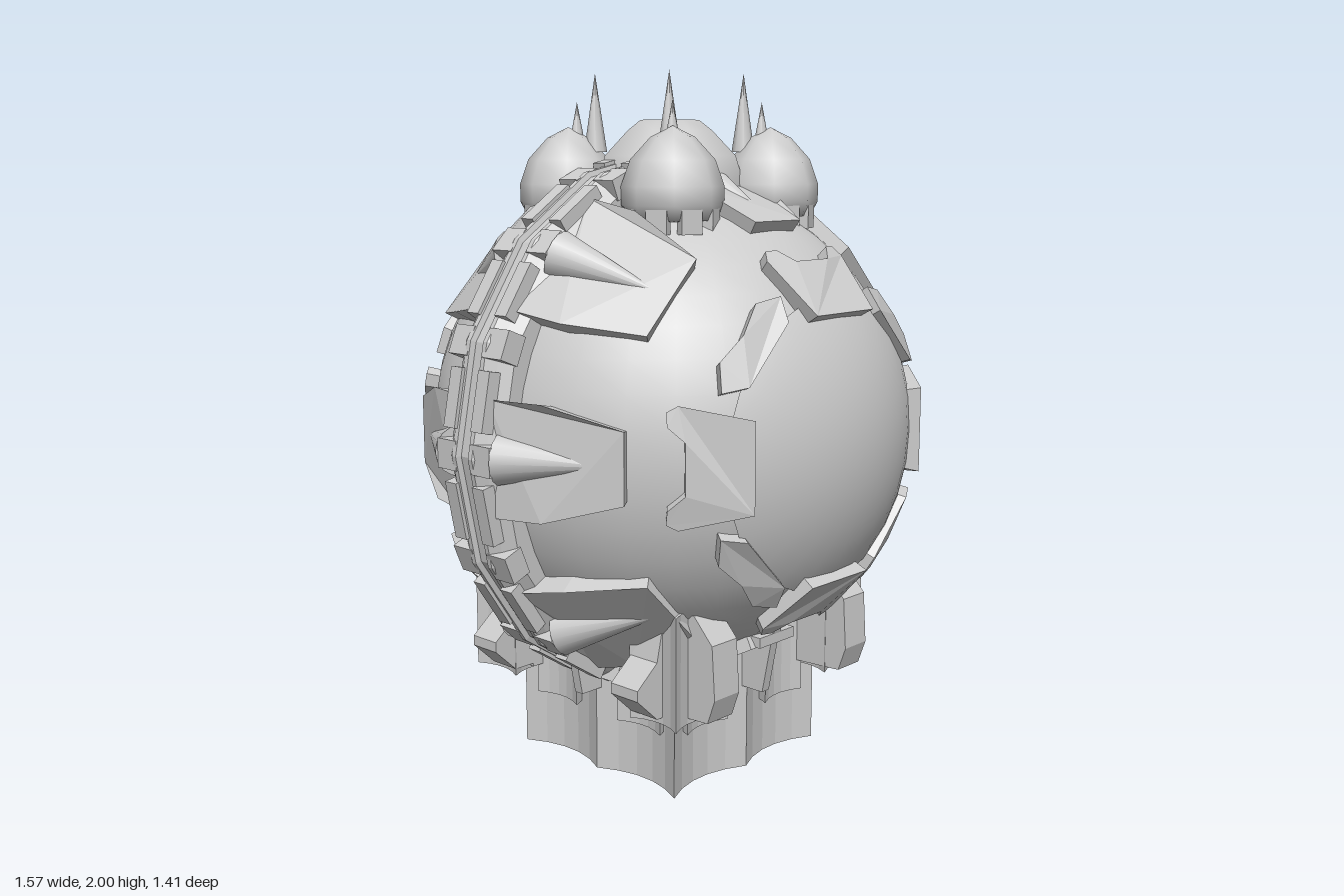
import * as THREE from 'three';

const grey = new THREE.MeshStandardMaterial({ color: 0xcccccc, side: THREE.DoubleSide });
const flat = new THREE.MeshStandardMaterial({ color: 0xcccccc, flatShading: true, side: THREE.DoubleSide });
const V = (x, y, z) => new THREE.Vector3(x, y, z);
const shapeOf = pts => new THREE.Shape(pts.map(p => new THREE.Vector2(...p)));

function add(parent, name, geometry, material = flat, x = 0, y = 0, z = 0) {
  const m = new THREE.Mesh(geometry, material);
  m.name = name;
  m.position.set(x, y, z);
  parent.add(m);
  return m;
}

// Armour plate: an outline projected onto the ball around direction a, from radius r0 to top(v)
function plate(parent, name, pts, a, n, r0, top) {
  const t = n.clone().cross(a);
  const g = new THREE.ExtrudeGeometry(shapeOf(pts), { depth: 1, bevelEnabled: false });
  const p = g.attributes.position;
  for (let i = 0; i < p.count; i++) {
    const u = p.getX(i), v = p.getY(i), r = p.getZ(i) > 0.5 ? top(v) : r0;
    const d = a.clone().addScaledVector(t, u).addScaledVector(n, v).normalize().multiplyScalar(r);
    p.setXYZ(i, d.x, d.y, d.z);
  }
  g.computeVertexNormals();
  add(parent, name, g);
}

// Square column with four concave sides, optionally hollow
function column(parent, name, x, z, half, y0, y1, hollow) {
  const trace = (path, h) => {
    const c = [[h, h], [-h, h], [-h, -h], [h, -h]];
    path.moveTo(h, -h);
    c.forEach(([px, py], i) => {
      const q = c[(i + 3) % 4];
      path.quadraticCurveTo((px + q[0]) * 0.22, (py + q[1]) * 0.22, px, py);
    });
    return path;
  };
  const s = trace(new THREE.Shape(), half);
  if (hollow) s.holes.push(trace(new THREE.Path(), half * 0.78));
  const g = new THREE.ExtrudeGeometry(s, { depth: y1 - y0, bevelEnabled: false, curveSegments: 5 });
  g.rotateX(-Math.PI / 2);
  add(parent, name, g, flat, x, y0, z);
}

// Upright slab cut from a side profile, centred on its thickness
function slab(pts, depth) {
  const g = new THREE.ExtrudeGeometry(shapeOf(pts), { depth, bevelEnabled: false });
  return g.translate(0, 0, -depth / 2);
}

function lathe(pts, sides, start = 0, sweep = Math.PI * 2) {
  return new THREE.LatheGeometry(pts.map(p => new THREE.Vector2(...p)), sides, start, sweep);
}

export function createModel() {
  const root = new THREE.Group();
  root.name = 'armouredSphere';
  const ball = new THREE.Group();
  ball.name = 'ball';
  ball.position.y = 1;
  root.add(ball);

  // Core ball
  add(ball, 'core', new THREE.SphereGeometry(0.69, 32, 24), grey);

  // Front and back lenses, each framed by four notched wedges and four forked corners
  const wedge = [[-0.19, 0.57], [0.19, 0.57], [0.32, 1.0], [0.3, 1.09], [0.22, 1.08], [0.13, 0.95],
    [-0.13, 0.95], [-0.22, 1.08], [-0.3, 1.09], [-0.32, 1.0]];
  const corner = [[0.33, 0.58], [0.58, 0.33], [0.73, 0.33], [0.73, 0.48], [0.58, 0.58], [0.48, 0.73], [0.33, 0.73]];
  for (const s of [1, -1]) {
    const lens = add(ball, 'lens', new THREE.SphereGeometry(0.705, 24, 8, 0, Math.PI * 2, 0, 0.61), grey);
    lens.rotation.x = s * Math.PI / 2;
    for (let k = 0; k < 4; k++) {
      const b = k * Math.PI / 2, n = V(Math.cos(b), Math.sin(b), 0);
      plate(ball, 'lensWedge', wedge, V(0, 0, s), n, 0.65, v => (v < 0.7 ? 0.745 : 0.725));
      plate(ball, 'lensCorner', corner, V(0, 0, s), n, 0.66, () => 0.73);
    }
  }

  // Eight flared panels on each side of the belt, each with a low tapered ridge
  for (let k = 0; k < 8; k++) {
    const b = k * Math.PI / 4, w = k % 2 ? 0.06 : 0;
    const a = V(Math.cos(b), Math.sin(b), 0);
    const panel = [[-0.21 - w, 0.08], [0.21 + w, 0.08], [0.22 + w, 0.3], [0.16 + w, 0.68], [-0.16 - w, 0.68], [-0.22 - w, 0.3]];
    for (const s of [1, -1]) {
      const n = V(0, 0, s);
      plate(ball, 'sidePanel', panel, a, n, 0.68, v => 0.768 - v * 0.06);
      const dir = n.clone().multiplyScalar(0.92).addScaledVector(a, -0.38).normalize();
      const m = add(ball, 'panelRidge', new THREE.ConeGeometry(0.07, 0.32, 16), grey);
      m.quaternion.setFromUnitVectors(V(0, 1, 0), dir);
      m.position.copy(a).multiplyScalar(0.66).addScaledVector(n, 0.23);
    }
  }

  // Belt: sixteen-sided band, open at the bottom, with two tracks of long and short blocks
  const band = lathe([[0.62, -0.1], [0.735, -0.1], [0.765, -0.07], [0.785, -0.04], [0.785, -0.025], [0.77, -0.02],
    [0.77, 0.02], [0.785, 0.025], [0.785, 0.04], [0.765, 0.07], [0.735, 0.1], [0.62, 0.1]], 14, Math.PI / 8, Math.PI * 1.75);
  band.rotateX(Math.PI / 2);
  add(ball, 'beltBand', band);
  for (let i = -7; i <= 23; i++) {
    const b = i * Math.PI / 16, big = i % 2 === 0;
    if (Math.sin(b) < -0.93) continue;
    for (const s of [1, -1]) {
      const block = new THREE.BoxGeometry(0.06, big ? 0.08 : 0.16, big ? 0.075 : 0.045);
      const m = add(ball, 'beltBlock', block, flat, 0.75 * Math.cos(b), 0.75 * Math.sin(b), s * (big ? 0.068 : 0.055));
      m.rotation.z = b;
    }
  }

  // Crown: eight-sided dome
  add(root, 'crownDome', lathe([[0.22, 1.58], [0.23, 1.68], [0.2, 1.77], [0.13, 1.84], [0.09, 1.87], [0, 1.87]], 8, Math.PI / 8), grey);

  // Four toothed pods, each with a short and a tall spike
  const podProfile = [[0, 1.59], [0.12, 1.6], [0.14, 1.64], [0.14, 1.69], [0.115, 1.76], [0.06, 1.82], [0, 1.85]];
  for (const sx of [1, -1]) for (const sz of [1, -1]) {
    const pod = new THREE.Group();
    pod.name = 'pod';
    root.add(pod);
    const px = sx * 0.205, pz = sz * 0.205;
    add(pod, 'podShell', lathe(podProfile, 8), grey, px, 0, pz);
    for (let k = 0; k < 8; k++) {
      const b = (k + 0.5) * Math.PI / 4;
      const tooth = add(pod, 'podTooth', new THREE.BoxGeometry(0.03, 0.07, 0.06), flat,
        px + 0.11 * Math.cos(b), 1.6, pz + 0.11 * Math.sin(b));
      tooth.rotation.y = -b;
    }
    add(pod, 'shortSpike', new THREE.ConeGeometry(0.025, 0.13, 8), grey, sx * 0.187, 1.855, sz * 0.187);
    add(pod, 'tallSpike', new THREE.ConeGeometry(0.033, 0.22, 8), grey, sx * 0.155, 1.89, sz * 0.145);
  }

  // Tail: hollow lower cells, middle columns and outer corner columns with ribs
  const tail = new THREE.Group();
  tail.name = 'tail';
  root.add(tail);
  const sideRib = [[0.24, 0.27], [0.41, 0.27], [0.485, 0.34], [0.485, 0.37], [0.41, 0.43], [0.38, 0.56], [0.24, 0.56]];
  const endRib = [[0.24, 0.26], [0.46, 0.27], [0.485, 0.34], [0.475, 0.49], [0.41, 0.56], [0.24, 0.56]];
  for (const sx of [1, -1]) for (const sz of [1, -1]) {
    column(tail, 'lowerCell', sx * 0.155, sz * 0.155, 0.155, 0, 0.5, true);
    column(tail, 'middleColumn', sx * 0.17, sz * 0.225, 0.085, 0.17, 0.55, false);
    column(tail, 'middleColumn', sx * 0.225, sz * 0.17, 0.085, 0.17, 0.55, false);
    column(tail, 'cornerColumn', sx * 0.325, sz * 0.325, 0.087, 0.25, 0.57, false);
    const side = add(tail, 'cornerSideRib', slab(sideRib, 0.1), flat, 0, 0, sz * 0.29);
    side.rotation.y = sx > 0 ? 0 : Math.PI;
    const end = add(tail, 'cornerEndRib', slab(endRib, 0.1), flat, sx * 0.29, 0, 0);
    end.rotation.y = -sz * Math.PI / 2;
  }

  // Pointed blades midway along each side of the tail
  const blade = [[0.25, 0.25], [0.38, 0.25], [0.41, 0.4], [0.44, 0.5], [0.25, 0.45]];
  for (let k = 0; k < 4; k++) {
    const pivot = new THREE.Group();
    pivot.name = 'tailBlade';
    pivot.rotation.y = k * Math.PI / 2;
    tail.add(pivot);
    add(pivot, 'bladeFin', slab(blade, 0.03));
    add(pivot, 'bladeGuard', new THREE.BoxGeometry(0.1, 0.03, 0.15), flat, 0.37, 0.42, 0);
  }
  return root;
}
